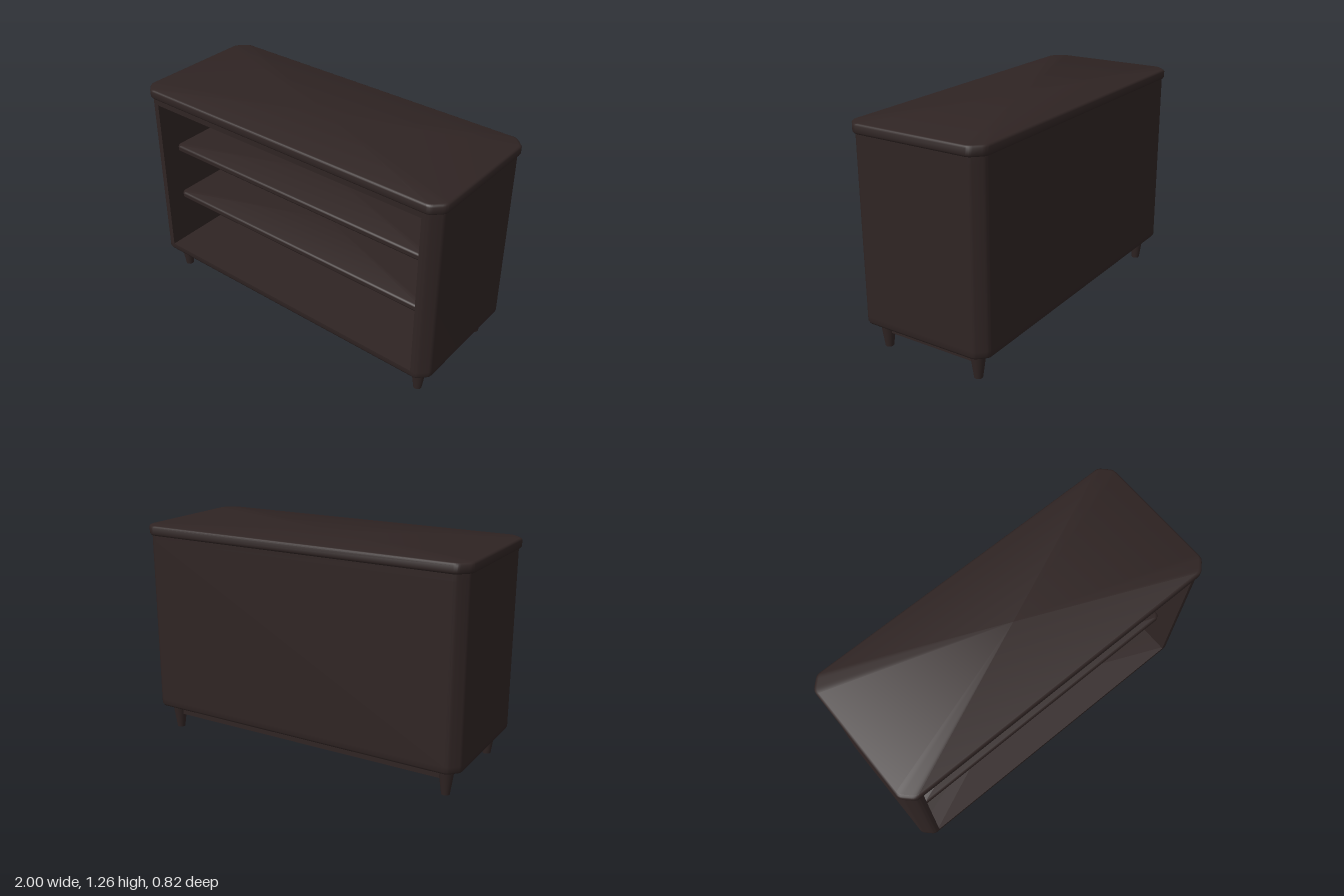
import * as THREE from 'three';
import { toCreasedNormals } from 'three/addons/utils/BufferGeometryUtils.js';

// Rectangle with softened chamfered corners, counter-clockwise; hx, hz are half sizes
function outline(hx, hz, c) {
  const s = new THREE.Shape();
  const r = c * 0.3;
  s.moveTo(hx, -hz + c + r);
  for (const [sx, sy] of [[1, 1], [-1, 1], [-1, -1], [1, -1]]) {
    const side = (k) => [sx * hx, sy * (hz - k)];
    const end = (k) => [sx * (hx - k), sy * hz];
    const near = (a, b, t) => [a[0] + (b[0] - a[0]) * t, a[1] + (b[1] - a[1]) * t];
    const [first, second] = sx * sy > 0 ? [side, end] : [end, side];
    const p = first(c), q = second(c);
    s.lineTo(...first(c + r));
    s.quadraticCurveTo(...p, ...near(p, q, 0.25));
    s.lineTo(...near(p, q, 0.75));
    s.quadraticCurveTo(...q, ...second(c + r));
  }
  return s.getPoints(4).slice(0, -1);
}

// Slab lofted through [height, inset] levels and closed by flat caps
function slab(hx, hz, c, levels) {
  const rings = levels.map(([y, i]) =>
    outline(hx - i, hz - i, c).map((p) => new THREE.Vector3(p.x, y, -p.y)));
  const pos = [];
  const tri = (...vs) => vs.forEach((v) => pos.push(v.x, v.y, v.z));
  const n = rings[0].length;
  const last = rings.length - 1;
  const bottom = new THREE.Vector3(0, levels[0][0], 0);
  const top = new THREE.Vector3(0, levels[last][0], 0);
  for (let j = 0; j < n; j++) {
    const k = (j + 1) % n;
    for (let i = 0; i < last; i++) {
      const a = rings[i], b = rings[i + 1];
      tri(a[j], a[k], b[k]);
      tri(a[j], b[k], b[j]);
    }
    tri(bottom, rings[0][k], rings[0][j]);
    tri(top, rings[last][j], rings[last][k]);
  }
  const g = new THREE.BufferGeometry();
  g.setAttribute('position', new THREE.Float32BufferAttribute(pos, 3));
  return toCreasedNormals(g, 0.9);
}

export function createModel() {
  const group = new THREE.Group();
  const wood = new THREE.MeshStandardMaterial({ color: 0x2f2423 });
  wood.name = 'dark wood';
  const add = (name, geometry, x = 0, y = 0, z = 0) => {
    const mesh = new THREE.Mesh(geometry, wood);
    mesh.name = name;
    mesh.position.set(x, y, z);
    group.add(mesh);
    return mesh;
  };

  // Cabinet floor, ceiling and overhanging top
  const HX = 0.985, HZ = 0.4, C = 0.055;
  add('cabinetFloor', slab(HX, HZ, C, [[0.157, 0.015], [0.161, 0.005], [0.172, 0], [0.2, 0]]));
  add('cabinetCeiling', slab(HX, HZ, C, [[1.17, 0], [1.207, 0]]));
  add('top', slab(1, 0.41, 0.06,
    [[1.203, 0.012], [1.207, 0.004], [1.215, 0], [1.248, 0], [1.256, 0.004], [1.26, 0.012]]));

  // Side and back walls: the outline with the front compartment cut away
  const inner = 0.895, back = 0.36;
  const pts = outline(HX, HZ, C);
  const rear = pts.findIndex((p) => p.x < 0 && p.y < -HZ + 0.0001);
  const walls = new THREE.Shape([
    ...pts.slice(0, rear + 1),
    new THREE.Vector2(-inner, -HZ), new THREE.Vector2(-inner, back),
    new THREE.Vector2(inner, back), new THREE.Vector2(inner, -HZ),
    ...pts.slice(rear + 1),
  ]);
  const wallGeo = new THREE.ExtrudeGeometry(walls, { depth: 0.97, bevelEnabled: false });
  wallGeo.rotateX(-Math.PI / 2);
  add('cabinetWalls', toCreasedNormals(wallGeo, 0.9), 0, 0.2, 0);

  // Two shelves set back from the front
  const shelfGeo = slab(0.895, 0.33, 0.02,
    [[-0.021, 0.012], [-0.017, 0.004], [-0.009, 0], [0.009, 0], [0.017, 0.004], [0.021, 0.012]]);
  for (const y of [0.523, 0.85]) add('shelf', shelfGeo, 0, y, -0.03);

  // Tapered legs
  const LX = 0.885, LZ = 0.296;
  const legGeo = new THREE.CylinderGeometry(0.046, 0.023, 0.165, 24);
  for (const x of [-LX, LX]) for (const z of [-LZ, LZ]) add('leg', legGeo, x, 0.0825, z);

  // Rails joining the legs
  for (const s of [-1, 1]) {
    add('longRail', new THREE.BoxGeometry(2 * LX, 0.075, 0.03), 0, 0.1255, s * LZ);
    add('shortRail', new THREE.BoxGeometry(0.03, 0.075, 2 * LZ), s * LX, 0.1255, 0);
  }
  return group;
}
